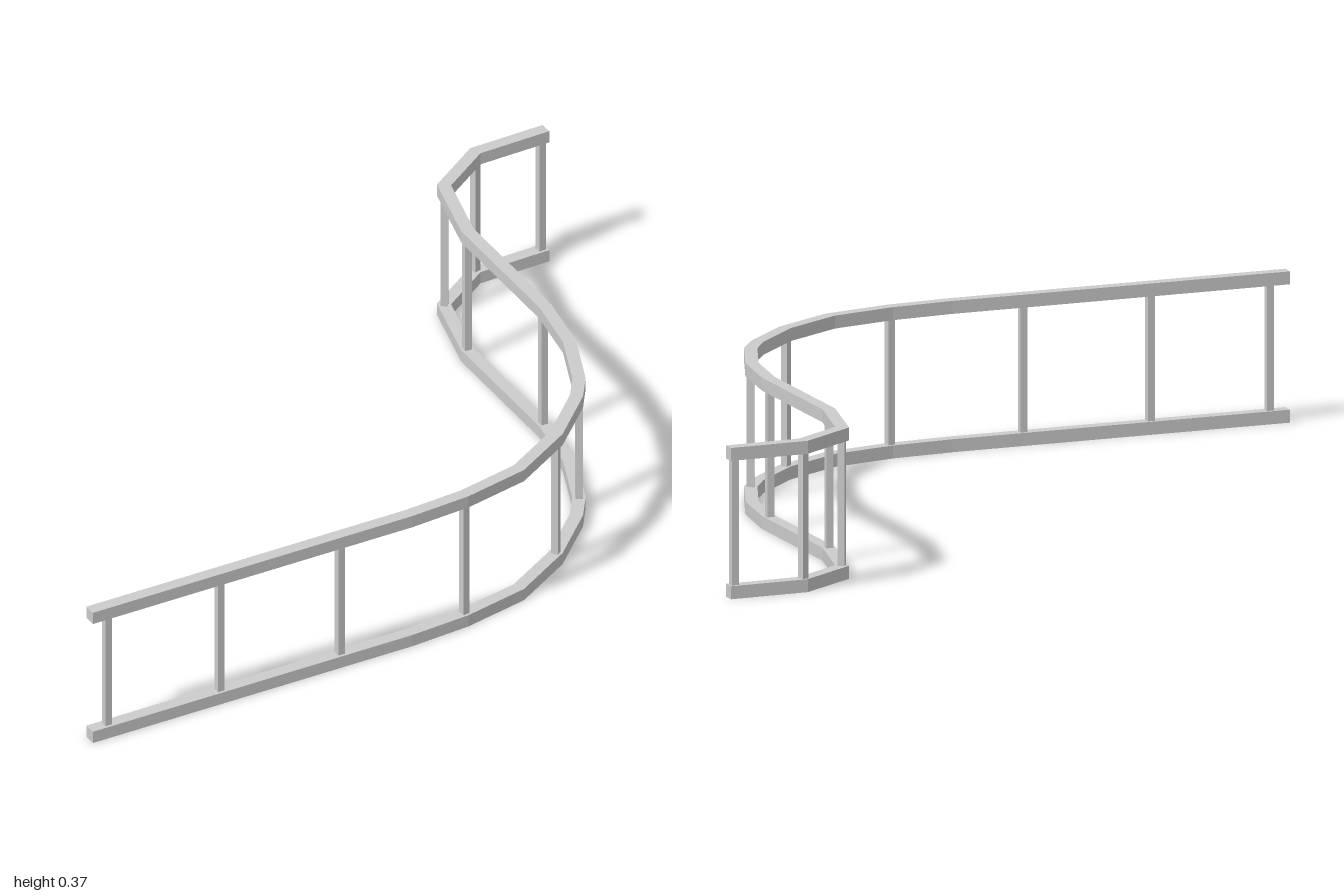
import * as THREE from 'three';

const RAIL = 0.032, POST = 0.018, HEIGHT = 0.373;

// Centre line of the railing in plan, as [x, z]
const PATH = [
  [-1, 0.665], [-0.12, 0.664], [0.04, 0.653], [0.21, 0.617], [0.365, 0.525],
  [0.487, 0.405], [0.53, 0.34], [0.59, 0.185], [0.615, 0.02], [0.615, -0.365],
  [0.663, -0.567], [0.803, -0.663], [1, -0.668],
].map(([x, z]) => new THREE.Vector2(x, z));

// Posts in plan, as [x, z]
const POSTS = [
  [-0.952, 0.665], [-0.642, 0.665], [-0.31, 0.664], [0.04, 0.653], [0.362, 0.527], [0.53, 0.34],
  [0.615, 0.01], [0.615, -0.367], [0.663, -0.565], [0.803, -0.663], [0.985, -0.667],
];

const direction = (i) => PATH[i + 1].clone().sub(PATH[i]).normalize();

// Unit tangent at a path corner, with the stretch needed for a mitred joint
function corner(i) {
  const a = direction(Math.max(i - 1, 0));
  const b = direction(Math.min(i, PATH.length - 2));
  const t = a.clone().add(b).normalize();
  return { t, stretch: 1 / t.dot(a) };
}

// Rail bar: the path widened to a mitred outline, then extruded upright
function railGeometry() {
  const sides = [1, -1].map((s) => PATH.map((p, i) => {
    const { t, stretch } = corner(i);
    const d = s * stretch * RAIL / 2;
    return new THREE.Vector2(p.x - t.y * d, p.y + t.x * d);
  }));
  const shape = new THREE.Shape([...sides[0], ...sides[1].reverse()]);
  const g = new THREE.ExtrudeGeometry(shape, { depth: RAIL, bevelEnabled: false });
  return g.rotateX(Math.PI / 2).translate(0, RAIL, 0);
}

// Tangent of the path corner or segment closest to a post
function tangentAt(x, z) {
  const p = new THREE.Vector2(x, z);
  const near = PATH.findIndex((q) => q.distanceTo(p) < 0.02);
  if (near >= 0) return corner(near).t;
  const i = PATH.findIndex((q, k) => k < PATH.length - 1 && x >= q.x && x <= PATH[k + 1].x);
  return direction(Math.max(i, 0));
}

export function createModel() {
  const group = new THREE.Group();
  group.name = 'curvedRailing';
  const material = new THREE.MeshStandardMaterial({ color: 0xcccccc, flatShading: true });

  // Top and bottom rails
  const bar = railGeometry();
  for (const [name, y] of [['bottomRail', 0], ['topRail', HEIGHT - RAIL]]) {
    const rail = new THREE.Mesh(bar, material);
    rail.name = name;
    rail.position.y = y;
    group.add(rail);
  }

  // Square posts turned to follow the curve
  const postGeometry = new THREE.BoxGeometry(POST, HEIGHT - 2 * RAIL, POST);
  POSTS.forEach(([x, z], i) => {
    const post = new THREE.Mesh(postGeometry, material);
    const t = tangentAt(x, z);
    post.name = `post${i + 1}`;
    post.position.set(x, HEIGHT / 2, z);
    post.rotation.y = -Math.atan2(t.y, t.x);
    group.add(post);
  });
  return group;
}
